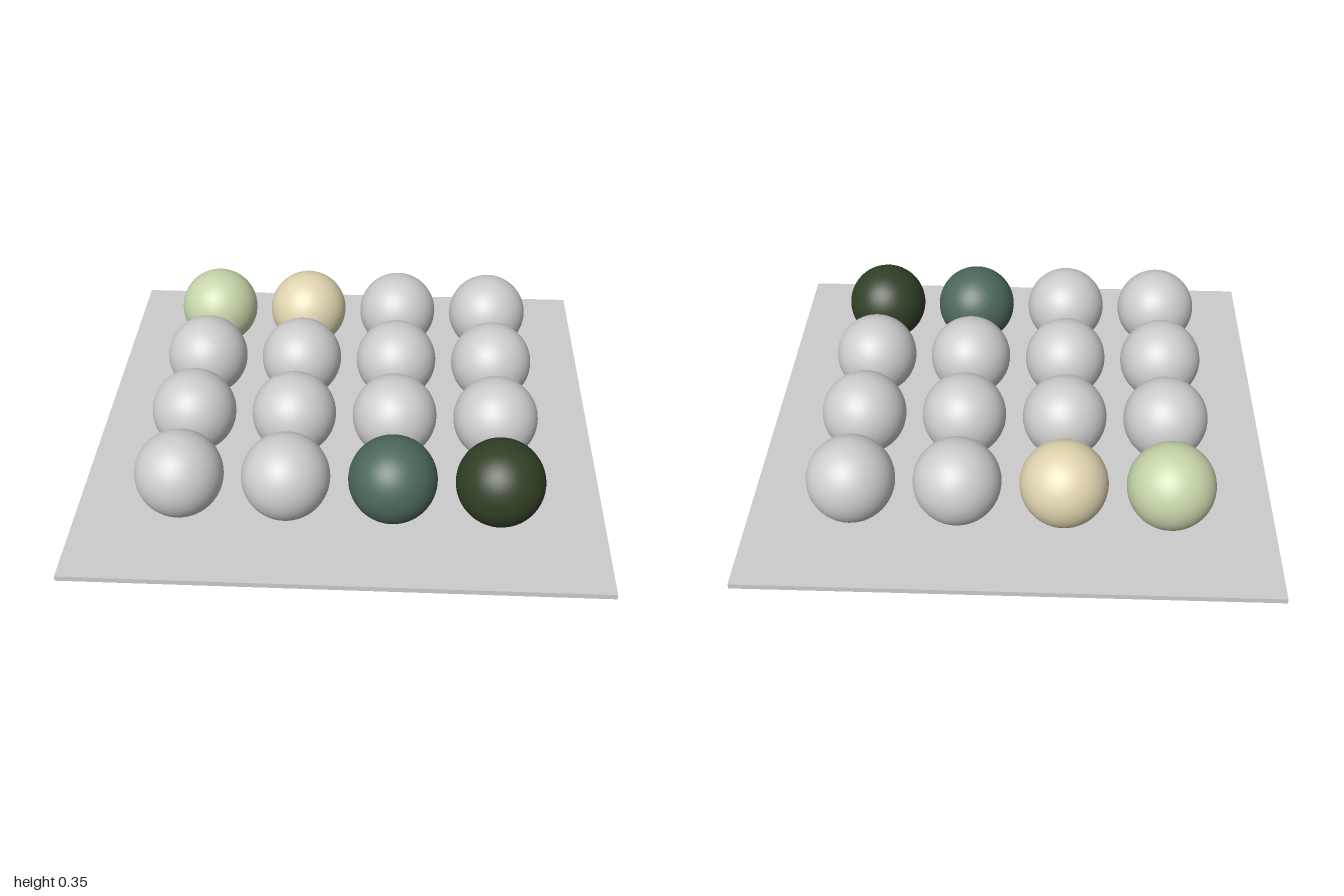
import * as THREE from 'three';

const material = (name, color) => {
  const m = new THREE.MeshStandardMaterial({ color });
  m.name = name;
  return m;
};

export function createModel() {
  const model = new THREE.Group();
  model.name = 'ballsOnTray';

  const grey = material('grey', 0xcccccc);
  const paleGreen = material('paleGreen', 0xc6d5aa);
  const sand = material('sand', 0xe0d5b0);
  const teal = material('teal', 0x4c6859);
  const darkGreen = material('darkGreen', 0x304026);

  // Thin square base
  const thickness = 0.02;
  const base = new THREE.Mesh(new THREE.BoxGeometry(2, thickness, 2), grey);
  base.name = 'base';
  base.position.y = thickness / 2;
  model.add(base);

  // Four by four balls resting on the base; rows run back to front
  const radius = 1 / 6;
  const spacing = 0.4;
  const ballGeometry = new THREE.SphereGeometry(radius, 48, 32);
  const accents = { '0,0': paleGreen, '0,1': sand, '3,2': teal, '3,3': darkGreen };
  for (let row = 0; row < 4; row++) {
    for (let column = 0; column < 4; column++) {
      const ball = new THREE.Mesh(ballGeometry, accents[`${row},${column}`] ?? grey);
      ball.name = `ballRow${row + 1}Column${column + 1}`;
      ball.position.set((column - 1.5) * spacing, thickness + radius, (row - 1.5) * spacing);
      model.add(ball);
    }
  }
  return model;
}
